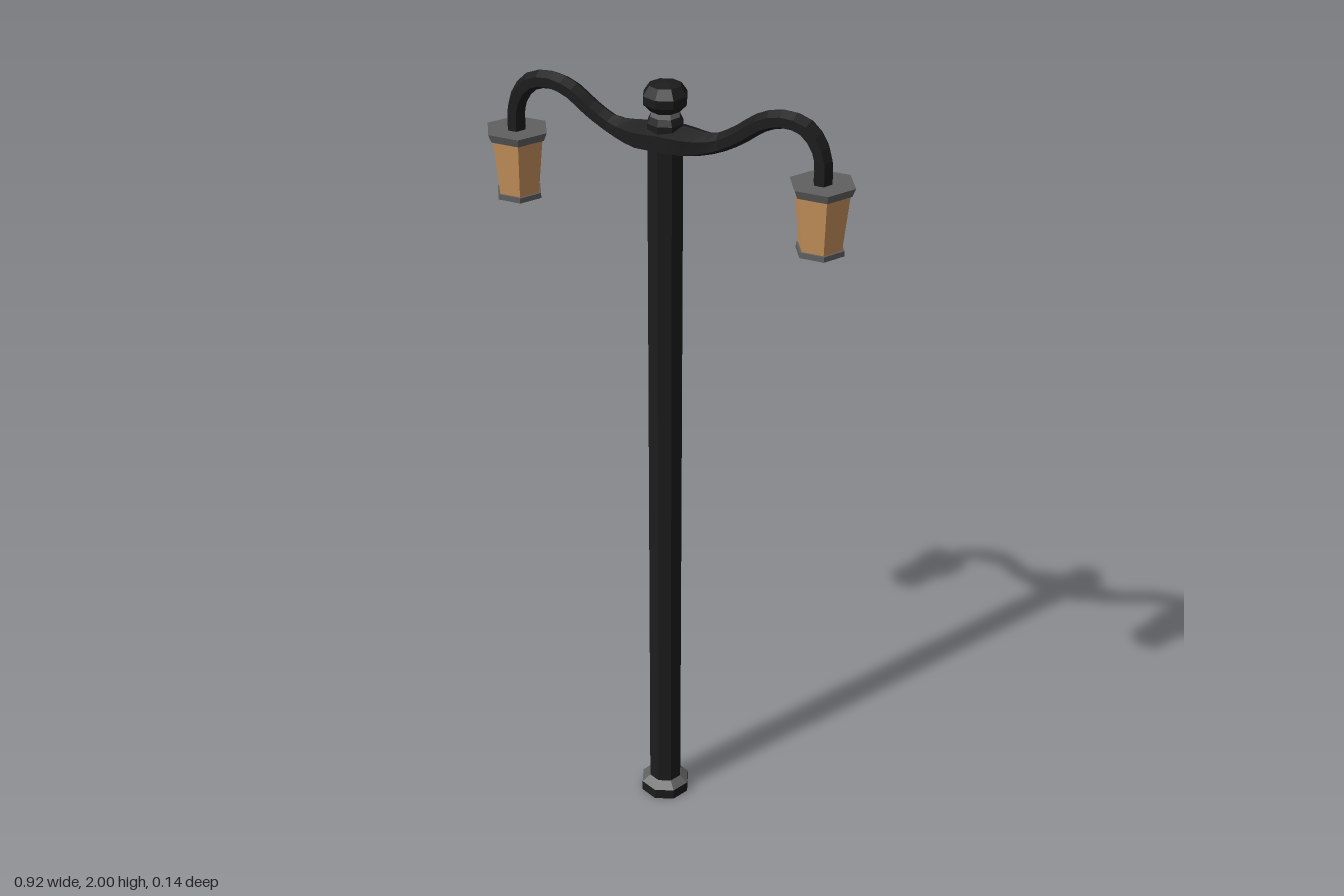
import * as THREE from 'three';

const black = new THREE.MeshStandardMaterial({ name: 'black iron', color: 0x1c1c1d });
const grey = new THREE.MeshStandardMaterial({ name: 'grey metal', color: 0x606060 });
const amber = new THREE.MeshStandardMaterial({ name: 'amber glass', color: 0xc8935c });

// Faceted normals for the low-poly look
function faceted(geometry) {
  const g = geometry.index ? geometry.toNonIndexed() : geometry;
  g.computeVertexNormals();
  return g;
}

// Turned part from a [radius, y] profile, listed bottom to top
function turned(name, profile, sides, material) {
  const points = profile.map(([r, y]) => new THREE.Vector2(r, y));
  const mesh = new THREE.Mesh(faceted(new THREE.LatheGeometry(points, sides, Math.PI / 2)), material);
  mesh.name = name;
  return mesh;
}

// Hexagonal tube along a curve in the xy plane; sizeAt(x) gives its [in-plane, z] radii
function hexTube(curve, steps, sizeAt) {
  const sides = 6, pos = [], index = [];
  for (let i = 0; i <= steps; i++) {
    const p = curve.getPointAt(i / steps), t = curve.getTangentAt(i / steps);
    const [a, b] = sizeAt(p.x);
    for (let j = 0; j < sides; j++) {
      const angle = (j / sides) * Math.PI * 2, u = Math.cos(angle) * a;
      pos.push(p.x - t.y * u, p.y + t.x * u, Math.sin(angle) * b);
      if (i < steps) {
        const k = i * sides + j, n = i * sides + (j + 1) % sides;
        index.push(k, n, k + sides, n, n + sides, k + sides);
      }
    }
  }
  // End caps
  const last = steps * sides;
  for (let j = 1; j < sides - 1; j++) index.push(0, j + 1, j, last, last + j, last + j + 1);
  const g = new THREE.BufferGeometry();
  g.setAttribute('position', new THREE.Float32BufferAttribute(pos, 3));
  g.setIndex(index);
  return faceted(g);
}

function createLantern(side) {
  const lantern = new THREE.Group();
  lantern.name = side > 0 ? 'leftLantern' : 'rightLantern';
  lantern.add(
    turned('lanternCap', [[0, 1.805], [0.07, 1.805], [0.078, 1.825], [0, 1.825]], 6, grey),
    turned('lanternGlass', [[0.052, 1.67], [0.066, 1.806]], 6, amber),
    turned('lanternBase', [[0, 1.66], [0.058, 1.66], [0.058, 1.673], [0, 1.673]], 6, grey),
  );
  lantern.position.x = side * 0.38;
  return lantern;
}

export function createModel() {
  const model = new THREE.Group();
  model.name = 'streetLamp';

  // Foot, post and finial
  model.add(
    turned('footUnderside', [[0, 0], [0.065, 0]], 8, grey),
    turned('footRing', [[0.065, 0], [0.065, 0.028]], 8, black),
    turned('footBevel', [[0.065, 0.028], [0.042, 0.046]], 8, grey),
    turned('post', [[0.043, 0.04], [0.043, 1.905], [0.036, 1.92]], 8, black),
    turned('neck', [[0.036, 1.92], [0.03, 1.935]], 8, grey),
    turned('finial', [[0, 1.93], [0.035, 1.932], [0.052, 1.95], [0.053, 1.97], [0.038, 1.992], [0, 2]], 8, black),
  );

  // Double swan-neck arm, thickened where it crosses the post
  const half = [[0.38, 1.82], [0.38, 1.87], [0.366, 1.914], [0.335, 1.947], [0.285, 1.957],
    [0.235, 1.942], [0.18, 1.903], [0.13, 1.876], [0.07, 1.866]];
  const path = [
    ...half.map(([x, y]) => new THREE.Vector3(-x, y, 0)),
    new THREE.Vector3(0, 1.868, 0),
    ...half.slice().reverse().map(([x, y]) => new THREE.Vector3(x, y, 0)),
  ];
  const arm = new THREE.Mesh(hexTube(new THREE.CatmullRomCurve3(path), 36, (x) => {
    const swell = 1 - THREE.MathUtils.smoothstep(Math.abs(x), 0.03, 0.15);
    return [0.022 + 0.014 * swell, 0.026 + 0.03 * swell];
  }), black);
  arm.name = 'arm';
  model.add(arm);

  for (const side of [-1, 1]) model.add(createLantern(side));
  return model;
}
